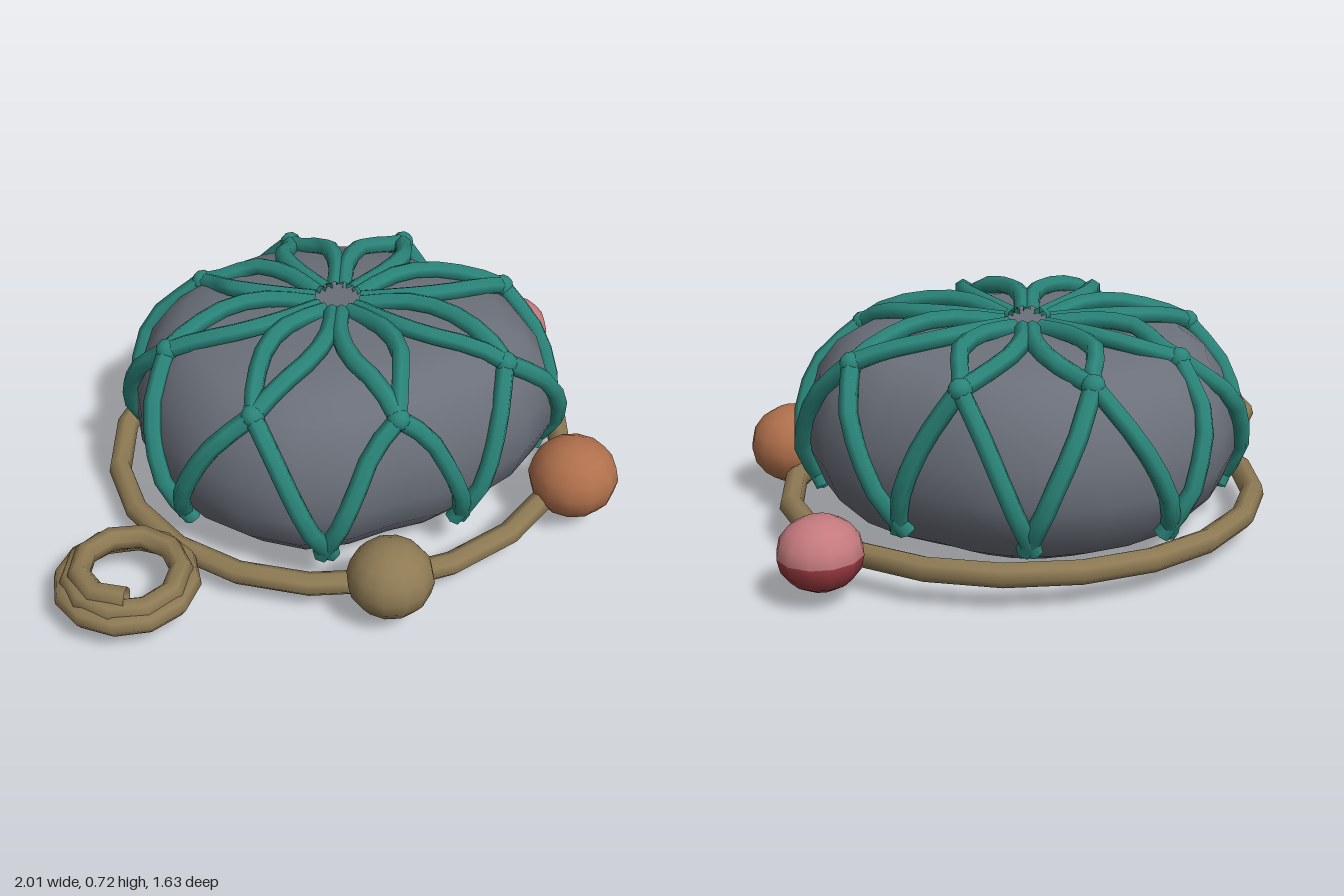
import * as THREE from 'three';
import { mergeVertices } from 'three/addons/utils/BufferGeometryUtils.js';

const mat = (name, color, opts = {}) => {
  const m = new THREE.MeshStandardMaterial({ color, ...opts });
  m.name = name;
  return m;
};

export function createModel() {
  const group = new THREE.Group();
  const stoneGrey = mat('stoneGrey', 0x6b707a, { side: THREE.DoubleSide });
  const netTeal = mat('netTeal', 0x2a857a, { side: THREE.DoubleSide });
  const ropeTan = mat('ropeTan', 0x8e7a54, { side: THREE.DoubleSide });
  const beadOrange = mat('beadOrange', 0xb0704c);
  const beadPink = mat('beadPink', 0xc47a7e);
  const beadRed = mat('beadRed', 0x9a3a40);

  const add = (name, geo, material, parent = group) => {
    const m = new THREE.Mesh(geo, material);
    m.name = name;
    parent.add(m);
    return m;
  };
  const V = (x, y, z) => new THREE.Vector3(x, y, z);
  const DEG = Math.PI / 180;
  const CX = 0.07, CZ = -0.1;

  // Uneven outline of the stone, one radius every 30 degrees from +x towards +z
  const outline = [0.68, 0.72, 0.63, 0.59, 0.68, 0.69, 0.68, 0.67, 0.64, 0.6, 0.585, 0.57];
  const radiusAt = (a) => {
    const s = (((a / DEG) % 360) + 360) % 360 / 30;
    const i = Math.floor(s), k = s - i;
    const w = k * k * (3 - 2 * k);
    return outline[i % 12] * (1 - w) + outline[(i + 1) % 12] * w;
  };
  // Point at angle a and distance r from the stone's axis; the top leans down to the back
  const polar = (a, r, y) => {
    const z = CZ + Math.sin(a) * r;
    return V(CX + Math.cos(a) * r, y * (1 + 0.07 * z), z);
  };

  // Stone: hollow shell, open underneath
  const profile = [[0.54, 0.006], [0.57, 0.0], [0.8, 0.07], [0.93, 0.16], [0.99, 0.27], [0.985, 0.38],
    [0.94, 0.49], [0.85, 0.575], [0.74, 0.625], [0.58, 0.65], [0.3, 0.665], [0, 0.668]];
  let stone = new THREE.LatheGeometry(profile.map(([r, y]) => new THREE.Vector2(r, y)), 24);
  const pos = stone.attributes.position;
  for (let i = 0; i < pos.count; i++) {
    const x = pos.getX(i), z = pos.getZ(i), a = Math.atan2(z, x);
    const p = polar(a, Math.hypot(x, z) * radiusAt(a), pos.getY(i));
    pos.setXYZ(i, p.x, p.y, p.z);
  }
  stone.deleteAttribute('uv');
  stone.deleteAttribute('normal');
  stone = mergeVertices(stone, 1e-4);
  stone.computeVertexNormals();
  add('stone', stone, stoneGrey);

  // Net: eight petals from the hub to the knots, then crossing strands down the sides
  const net = new THREE.Group();
  net.name = 'net';
  group.add(net);
  const strand = (name, pts) => add(name,
    new THREE.TubeGeometry(new THREE.CatmullRomCurve3(pts), 7, 0.03, 6, false), netTeal, net);
  const knotRadius = [0.58, 0.58, 0.55, 0.59, 0.57, 0.5, 0.49, 0.52];
  for (let k = 0; k < 8; k++) {
    const a = k * 45 * DEG;
    const kr = knotRadius[k];
    const knot = polar(a, kr, 0);
    knot.y = k === 2 ? 0.58 : 0.6;
    add('knot', new THREE.IcosahedronGeometry(0.037, 1), netTeal, net).position.copy(knot);
    for (const s of [-1, 1]) {
      const at = (d) => a + s * d * DEG;
      strand('petalStrand', [
        polar(at(11), 0.075, 0.668), polar(at(18), 0.22, 0.682),
        polar(at(13), 0.35, 0.675), polar(at(4), kr * 0.86, 0.64), knot]);
      // Side strands follow the stone's bulge to the joint halfway to the next knot
      const side = (d, f, y) => polar(at(d), radiusAt(at(d)) * f, y);
      strand('sideStrand', [
        knot, side(9, 0.965, 0.485), side(14.5, 1.01, 0.37),
        side(19, 1.01, 0.25), side(24, 0.92, 0.12)]);
    }
  }

  // Rope ring lying around the stone
  const ring = [];
  for (let i = 0; i < 20; i++) {
    const a = (i + 0.5) * 18 * DEG;
    ring.push(V(0.08 + 0.755 * Math.cos(a), 0.105 + 0.014 * Math.cos(a + 0.5), -0.085 + 0.705 * Math.sin(a)));
  }
  add('ropeRing', new THREE.TubeGeometry(new THREE.CatmullRomCurve3(ring, true), 20, 0.038, 7, true), ropeTan);

  // Rope coil: a rising spiral that tightens, starting against the ring
  const coil = [];
  const turns = 2.6, steps = 28;
  for (let i = 0; i <= steps; i++) {
    const t = i / steps, a = -39 * DEG - t * turns * Math.PI * 2;
    const r = 0.21 - 0.066 * t;
    coil.push(V(-0.772 + r * Math.cos(a), 0.09 + 0.075 * t, 0.365 + r * Math.sin(a)));
  }
  add('ropeCoil', new THREE.TubeGeometry(new THREE.CatmullRomCurve3(coil), steps, 0.037, 7, false), ropeTan);

  // Beads strung on the ring, slightly flattened
  const bead = (name, r, squash, p, material, start = 0, sweep = Math.PI) => {
    const rows = sweep < Math.PI ? 4 : 8;
    const geo = new THREE.SphereGeometry(r, 12, rows, 0, Math.PI * 2, start, sweep);
    geo.scale(1, squash, 1);
    add(name, geo, material).position.set(...p);
  };
  bead('tanBead', 0.136, 0.9, [-0.03, 0.163, 0.67], ropeTan);
  bead('orangeBead', 0.146, 0.9, [0.7, 0.173, 0.42], beadOrange);

  // Two-tone bead: pale upper half, dark lower half
  const twoTone = [0.87, 0.157, -0.45];
  bead('pinkBeadTop', 0.13, 0.87, twoTone, beadPink, 0, Math.PI / 2);
  bead('redBeadBottom', 0.13, 0.87, twoTone, beadRed, Math.PI / 2, Math.PI / 2);

  return group;
}
